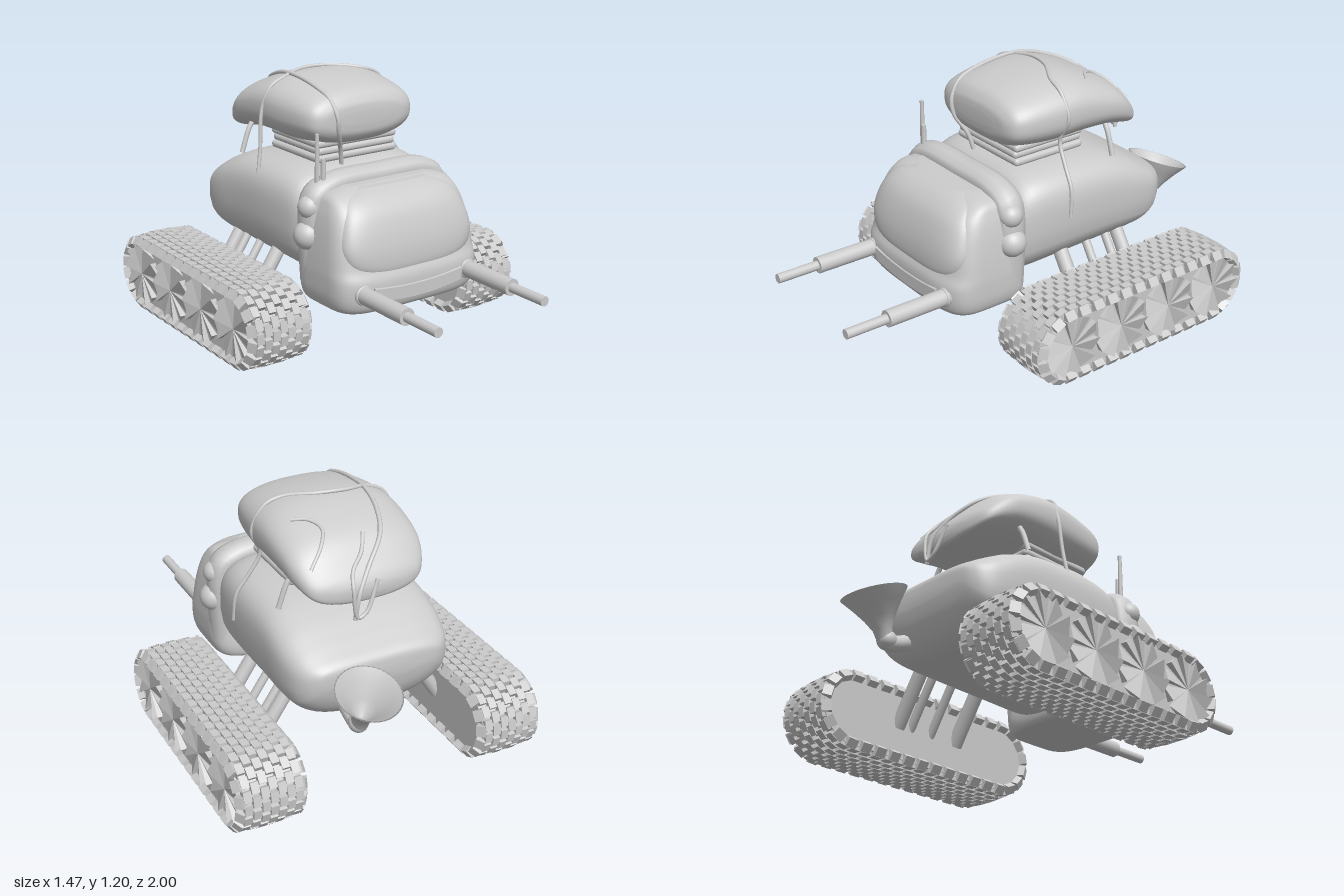
import * as THREE from 'three';
import { mergeGeometries } from 'three/addons/utils/BufferGeometryUtils.js';
import { RoundedBoxGeometry } from 'three/addons/geometries/RoundedBoxGeometry.js';

const smooth = new THREE.MeshStandardMaterial({ color: 0xcccccc });
const flat = new THREE.MeshStandardMaterial({ color: 0xcccccc, flatShading: true });
const thin = new THREE.MeshStandardMaterial({ color: 0xcccccc, side: THREE.DoubleSide });
const thinFlat = new THREE.MeshStandardMaterial({ color: 0xcccccc, side: THREE.DoubleSide, flatShading: true });
const V = (x, y, z) => new THREE.Vector3(x, y, z);

function add(parent, name, geometry, material = smooth, pos = [0, 0, 0]) {
  const mesh = new THREE.Mesh(geometry, material);
  mesh.name = name;
  mesh.position.set(...pos);
  parent.add(mesh);
  return mesh;
}

// Superellipse loft. Sections are [s, low, high, halfWidth]:
// along z (front to back, low/high are y) or along y (upward, low/high are z).
function loft(sections, axis, n, taper = 0, steps = 44, sides = 64) {
  const curve = new THREE.CatmullRomCurve3(sections.map(s => V(s[0], s[1], s[2])), false, 'catmullrom', 0.5);
  const widths = new THREE.CatmullRomCurve3(sections.map(s => V(s[3], 0, 0)), false, 'catmullrom', 0.5);
  const pos = [], index = [];
  const put = (x, v, s) => (axis === 'z' ? pos.push(x, v, s) : pos.push(x, s, v));
  const round = v => Math.sign(v) * Math.abs(v) ** (2 / n);
  const ends = [];
  for (let i = 0; i <= steps; i++) {
    const p = curve.getPoint(i / steps), w = widths.getPoint(i / steps).x;
    const mid = (p.y + p.z) / 2, h = (p.z - p.y) / 2;
    ends.push([mid, p.x]);
    for (let j = 0; j < sides; j++) {
      const a = j / sides * Math.PI * 2, v = round(Math.sin(a));
      put(w * round(Math.cos(a)) * (1 - taper * Math.min(0, v) ** 2), mid + h * v, p.x);
      const k = (j + 1) % sides, r = i * sides;
      if (i < steps) index.push(r + j, r + sides + j, r + k, r + k, r + sides + j, r + sides + k);
    }
  }
  const c = (steps + 1) * sides, last = steps * sides;
  put(0, ...ends[0]);
  put(0, ...ends[steps]);
  for (let j = 0; j < sides; j++) {
    const k = (j + 1) % sides;
    index.push(c, j, k, c + 1, last + k, last + j);
  }
  const g = new THREE.BufferGeometry();
  g.setAttribute('position', new THREE.Float32BufferAttribute(pos, 3));
  g.setIndex(index);
  g.computeVertexNormals();
  return g;
}

const tube = (points, r, steps = 48) =>
  new THREE.TubeGeometry(new THREE.CatmullRomCurve3(points.map(p => V(...p))), steps, r, 10);

const BAG = [[.137, .99, 1.05, .12], [.125, .94, 1.095, .23], [.07, .9, 1.145, .285], [-.1, .88, 1.18, .313],
  [-.25, .885, 1.183, .319], [-.4, .885, 1.14, .315], [-.5, .87, 1.085, .3], [-.58, .855, .995, .255],
  [-.61, .86, .95, .17], [-.62, .89, .92, .06]];

// Height of the bag's upper surface, used to lay straps on it
function bagTop(x, z) {
  let i = 0;
  while (i < BAG.length - 2 && BAG[i + 1][0] > z) i++;
  const t = (z - BAG[i][0]) / (BAG[i + 1][0] - BAG[i][0]);
  const [, lo, hi, w] = BAG[i].map((v, k) => v + (BAG[i + 1][k] - v) * t);
  return (lo + hi) / 2 + (hi - lo) / 2 * Math.max(0, 1 - Math.abs(x / w) ** 2.5) ** (1 / 2.5) + .006;
}
const onBag = pts => pts.map(([x, z]) => [x, bagTop(x, z), z]);

const HALF = .425, CY = .19; // straight half length and centre height of a track

// Point on the stadium path: centre line offset r, parameter u in 0..1
function trackFrame(u, r) {
  const straight = 2 * HALF, arc = Math.PI * .18, total = 2 * (straight + arc);
  let d = (u % 1) * total, flip = 1;
  if (d >= total / 2) { d -= total / 2; flip = -1; }
  const a = d < straight ? 0 : (d - straight) / .18;
  const z = d < straight ? -HALF + d : HALF;
  const normal = V(0, flip * Math.cos(a), flip * Math.sin(a));
  return { normal, point: V(0, CY, flip * z).addScaledVector(normal, r) };
}

// Staggered knobs in seven crowned columns with a tilted shoulder column on each edge
function treadGeometry() {
  const cols = 9, blocks = [];
  for (let c = 0; c < cols; c++) {
    const edge = c === 0 ? -1 : c === cols - 1 ? 1 : 0;
    const off = (c - 4) / 4, x = .573 + (edge ? edge * .138 : (c - 4) * .038);
    const r = edge ? .155 : .171 - .014 * off * off, rows = edge ? 36 : 46;
    for (let i = 0; i < rows; i++) {
      const { normal, point } = trackFrame((i + (c % 2) / 2) / rows, r);
      const side = V(1, 0, 0), m = new THREE.Matrix4().makeBasis(side, normal, side.clone().cross(normal));
      const box = new THREE.BoxGeometry(edge ? .042 : .035, .032, edge ? .05 : .046);
      if (edge) box.rotateZ(-edge * .95);
      box.applyMatrix4(m).translate(x, point.y, point.z);
      blocks.push(box);
    }
  }
  return mergeGeometries(blocks);
}

function stadium(r) {
  const s = new THREE.Shape();
  s.absarc(HALF, 0, r, -Math.PI / 2, Math.PI / 2);
  s.absarc(-HALF, 0, r, Math.PI / 2, Math.PI * 1.5);
  return s;
}

// Road wheel face: ten overlapping, tilted wedge blades
function pinwheel(r) {
  const pos = [], n = 10;
  for (let i = 0; i < n; i++) {
    const a = i / n * Math.PI * 2, b = (i + .85) / n * Math.PI * 2;
    const hi = [.026, Math.sin(a) * r, Math.cos(a) * r], lo = [-.004, Math.sin(b) * r, Math.cos(b) * r];
    const base = [-.004, hi[1], hi[2]], hub = [.012, 0, 0];
    pos.push(...hub, ...lo, ...hi, ...hub, ...hi, ...base, ...hi, ...lo, ...base);
  }
  const g = new THREE.BufferGeometry();
  g.setAttribute('position', new THREE.Float32BufferAttribute(pos, 3));
  g.computeVertexNormals();
  return g;
}

// One track; side is 1 for left and -1 for right (turned half round)
function trackUnit(name, side) {
  const unit = new THREE.Group();
  unit.name = name;
  unit.position.z = -.275;
  unit.rotation.y = side > 0 ? 0 : Math.PI;
  const core = new THREE.ExtrudeGeometry(stadium(.161), { depth: .262, bevelEnabled: false, curveSegments: 24 });
  core.rotateY(Math.PI / 2);
  add(unit, 'trackCore', core, flat, [.438, CY, 0]);
  add(unit, 'treadBlocks', treadGeometry(), flat);
  for (let i = 0; i < 4; i++) add(unit, 'roadWheel', pinwheel(.146), thinFlat, [.703, CY, (i - 1.5) * .28]);
  // Suspension arms
  for (const [z, r] of [[-.175, .032], [-.105, .02], [.01, .02], [.16, .034]])
    add(unit, 'suspensionArm', tube([[.27, .46, side * z], [.36, .325, side * z], [.455, .18, side * z]], r, 6));
  return unit;
}

export function createModel() {
  const model = new THREE.Group();
  model.name = 'trackedVehicle';

  // Hull and cab
  add(model, 'rearBody', loft([[.16, .31, .72, .34], [.08, .3, .805, .375], [-.1, .31, .825, .392], [-.35, .32, .81, .392],
    [-.5, .33, .765, .39], [-.6, .345, .715, .375], [-.66, .385, .68, .35], [-.7, .45, .655, .31], [-.72, .52, .63, .25],
    [-.725, .56, .59, .1]], 'z', 4, .32));
  add(model, 'cab', loft([[.255, .12, .45, .29], [.268, .09, .495, .355], [.32, .08, .515, .38], [.4, .09, .517, .385],
    [.46, .1, .495, .383], [.54, .1, .48, .375], [.63, .1, .455, .36], [.7, .1, .42, .34], [.75, .12, .36, .31], [.775, .16, .3, .22]], 'y', 4.6));
  add(model, 'windscreen', loft([[.41, .3, .48, .2], [.43, .28, .5, .27], [.47, .28, .507, .325], [.54, .27, .502, .348],
    [.62, .25, .482, .336], [.69, .22, .45, .31], [.74, .2, .4, .27], [.77, .2, .34, .18]], 'y', 4));
  const arch = add(model, 'cabArch', tube([[-.33, .34, 0], [-.338, .5, 0], [-.338, .66, 0], [-.318, .73, 0], [-.24, .768, 0],
    [0, .775, 0], [.24, .768, 0], [.318, .73, 0], [.338, .66, 0], [.338, .5, 0], [.33, .34, 0]], .05, 80), smooth, [0, 0, .19]);
  arch.scale.z = 1.4;

  // Curved front bumper plate
  const lip = new THREE.Shape();
  lip.moveTo(-.235, .38);
  lip.quadraticCurveTo(0, .345, .235, .38);
  lip.lineTo(.23, .325);
  lip.quadraticCurveTo(0, .285, -.23, .325);
  add(model, 'bumperPlate', new THREE.ExtrudeGeometry(lip, { depth: .022, bevelEnabled: true, bevelSize: .004, bevelThickness: .004, bevelSegments: 2 }), smooth, [0, 0, .498]);

  for (const s of [-1, 1]) {
    // Front barrels with collars, and side lamps
    add(model, 'barrelCollar', new THREE.TorusGeometry(.036, .008, 10, 28), smooth, [s * .285, .36, .507]);
    add(model, 'barrel', new THREE.CylinderGeometry(.038, .038, .34, 24).rotateX(Math.PI / 2), smooth, [s * .285, .36, .63]);
    add(model, 'barrelTip', new THREE.CylinderGeometry(.022, .022, .22, 20).rotateX(Math.PI / 2), smooth, [s * .285, .36, .89]);
    add(model, 'upperSideLamp', new THREE.SphereGeometry(.054, 24, 16), smooth, [s * .35, .685, .2]);
    add(model, 'lowerSideLamp', new THREE.SphereGeometry(.065, 24, 16), smooth, [s * .36, .56, .2]);
  }

  // Antennas
  add(model, 'longAntenna', new THREE.CylinderGeometry(.009, .012, .25, 10), smooth, [-.31, .875, .2]);
  add(model, 'shortAntenna', new THREE.CylinderGeometry(.011, .014, .14, 10), smooth, [-.285, .82, .21]);

  // Folded blankets under the bag
  for (let i = 0; i < 3; i++)
    add(model, 'foldedBlanket', new RoundedBoxGeometry(.44 - (i % 2) * .02, .036, .38, 4, .017), smooth, [0, .84 + i * .033, -.12]);

  // Bag and its straps
  add(model, 'bag', loft(BAG, 'z', 2.5));
  add(model, 'longStrap', tube([[-.09, .8, .07], [-.11, .88, .09], [-.15, .97, .135], [-.16, 1.04, .14],
    ...onBag([[-.17, .09], [-.175, .03], [-.175, -.1], [-.17, -.25], [-.15, -.38], [-.1, -.5], [0, -.585]]),
    [.06, .9, -.625], [.08, .79, -.63]], .01, 90));
  add(model, 'crossStrap', tube([[-.36, .73, -.2], [-.34, .85, -.21], [-.32, 1.03, -.22],
    ...onBag([[-.28, -.21], [-.2, -.21], [-.08, -.24], [.05, -.22], [.18, -.15], [.26, -.14]]),
    [.318, 1.03, -.14], [.275, .92, -.13], [.325, .82, -.12], [.382, .73, -.11], [.394, .6, -.1]], .009, 90));
  add(model, 'rearLoopStrap', tube([...onBag([[-.03, -.48], [.01, -.54], [.07, -.585]]), [.09, .93, -.63], [.07, .8, -.635],
    [.03, .82, -.635], [-.03, .95, -.615]], .009));
  add(model, 'curvedSeam', tube(onBag([[.24, -.54], [.16, -.48], [.13, -.42], [.16, -.36], [.22, -.32]]), .008));
  for (const s of [-1, 1])
    add(model, 'bagTie', tube([[s * .24, .96, -.4], [s * .28, .9, -.4], [s * .32, .79, -.4]], .012, 16));

  // Exhaust horn behind the body
  const profile = [[.035, 0], [.042, .05], [.068, .1], [.105, .155], [.145, .207], [.138, .207], [.095, .155], [.055, .1], [.022, .05], [0, .045]];
  const horn = add(model, 'exhaustHorn', new THREE.LatheGeometry(profile.map(p => new THREE.Vector2(...p)), 40), thin, [.14, .39, -.787]);
  horn.rotation.x = -.36;
  add(model, 'exhaustElbow', tube([[.14, .42, -.798], [.14, .385, -.782], [.14, .39, -.74], [.14, .44, -.62]], .036, 24));
  add(model, 'exhaustJoint', new THREE.SphereGeometry(.044, 20, 14), smooth, [.14, .395, -.78]);

  // Tracks on both sides
  model.add(trackUnit('leftTrack', 1), trackUnit('rightTrack', -1));
  return model;
}
